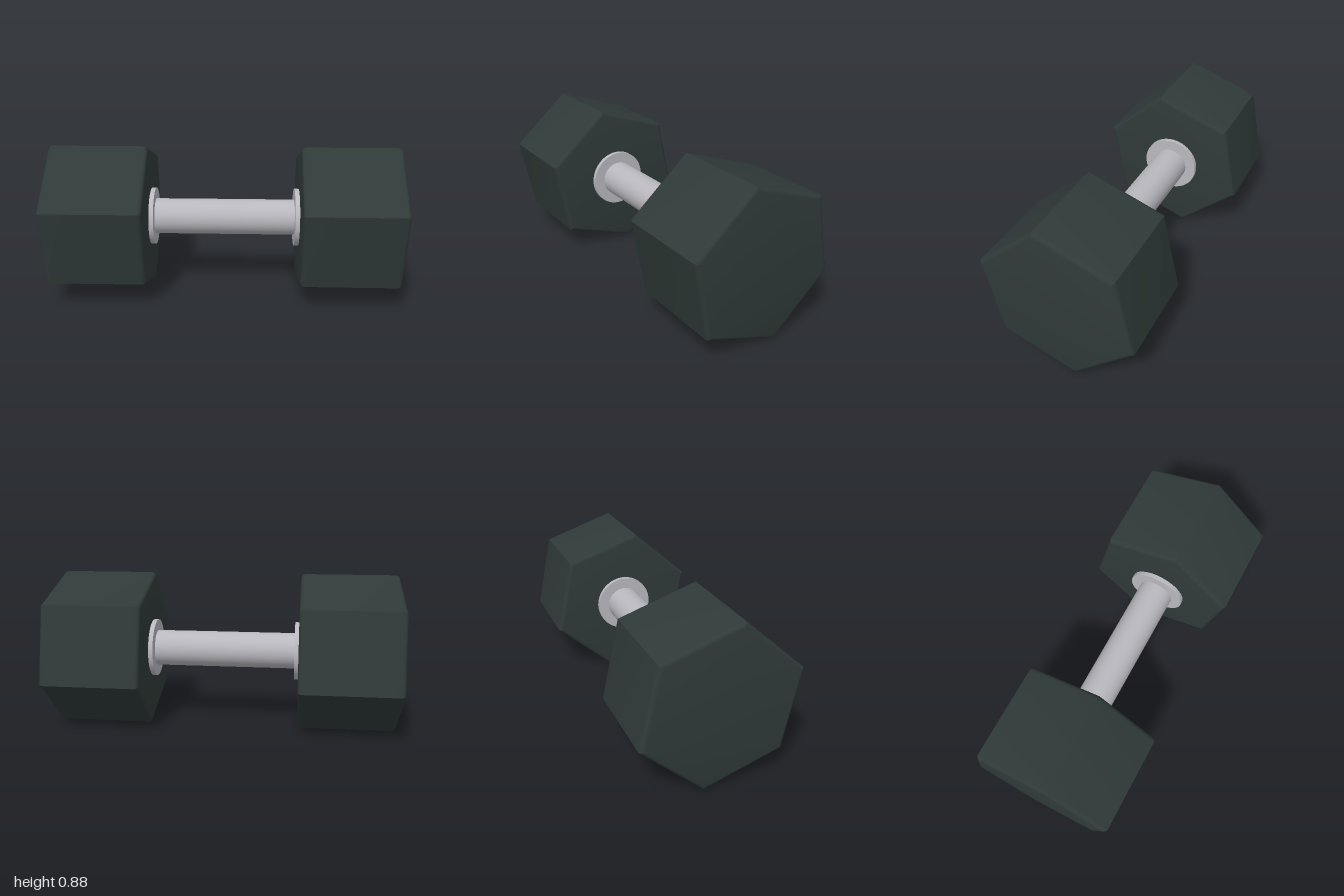
import * as THREE from 'three';
import { toCreasedNormals } from 'three/addons/utils/BufferGeometryUtils.js';

const AXIS_Y = 0.441; // height of the bar's centre line
const HEX_R = 0.45;
const HEX_TILT = THREE.MathUtils.degToRad(11.6);
const HEAD_IN = 0.433, HEAD_OUT = 1, BEVEL = 0.025;

// Hexagonal prism along x with rounded end edges
function headGeometry() {
  const points = [];
  for (let i = 0; i < 6; i++) {
    const t = HEX_TILT + (i * Math.PI) / 3;
    points.push(new THREE.Vector2(-HEX_R * Math.sin(t), HEX_R * Math.cos(t)));
  }
  const length = HEAD_OUT - HEAD_IN;
  const geo = new THREE.ExtrudeGeometry(new THREE.Shape(points), {
    depth: length - 2 * BEVEL, bevelEnabled: true, bevelThickness: BEVEL,
    bevelSize: BEVEL, bevelOffset: -BEVEL, bevelSegments: 4,
  });
  geo.translate(0, 0, BEVEL - length / 2);
  geo.rotateY(Math.PI / 2);
  return toCreasedNormals(geo, 0.5);
}

// Cylinder along x
function rod(radius, length) {
  return new THREE.CylinderGeometry(radius, radius, length, 48).rotateZ(Math.PI / 2);
}

export function createModel() {
  const rubber = new THREE.MeshStandardMaterial({ color: 0x2f3a38 });
  rubber.name = 'dark rubber';
  const steel = new THREE.MeshStandardMaterial({ color: 0xb8b8be });
  steel.name = 'steel';

  const model = new THREE.Group();
  model.name = 'dumbbell';
  const add = (name, geo, material, x) => {
    const mesh = new THREE.Mesh(geo, material);
    mesh.name = name;
    mesh.position.set(x, AXIS_Y, 0);
    model.add(mesh);
  };

  add('handle', rod(0.104, 0.88), steel, 0);

  // Weight and collar at each end
  const head = headGeometry();
  const collar = rod(0.168, 0.05);
  for (const [side, s] of [['left', 1], ['right', -1]]) {
    add(side + 'Weight', head, rubber, (s * (HEAD_IN + HEAD_OUT)) / 2);
    add(side + 'Collar', collar, steel, s * 0.432);
  }
  return model;
}
